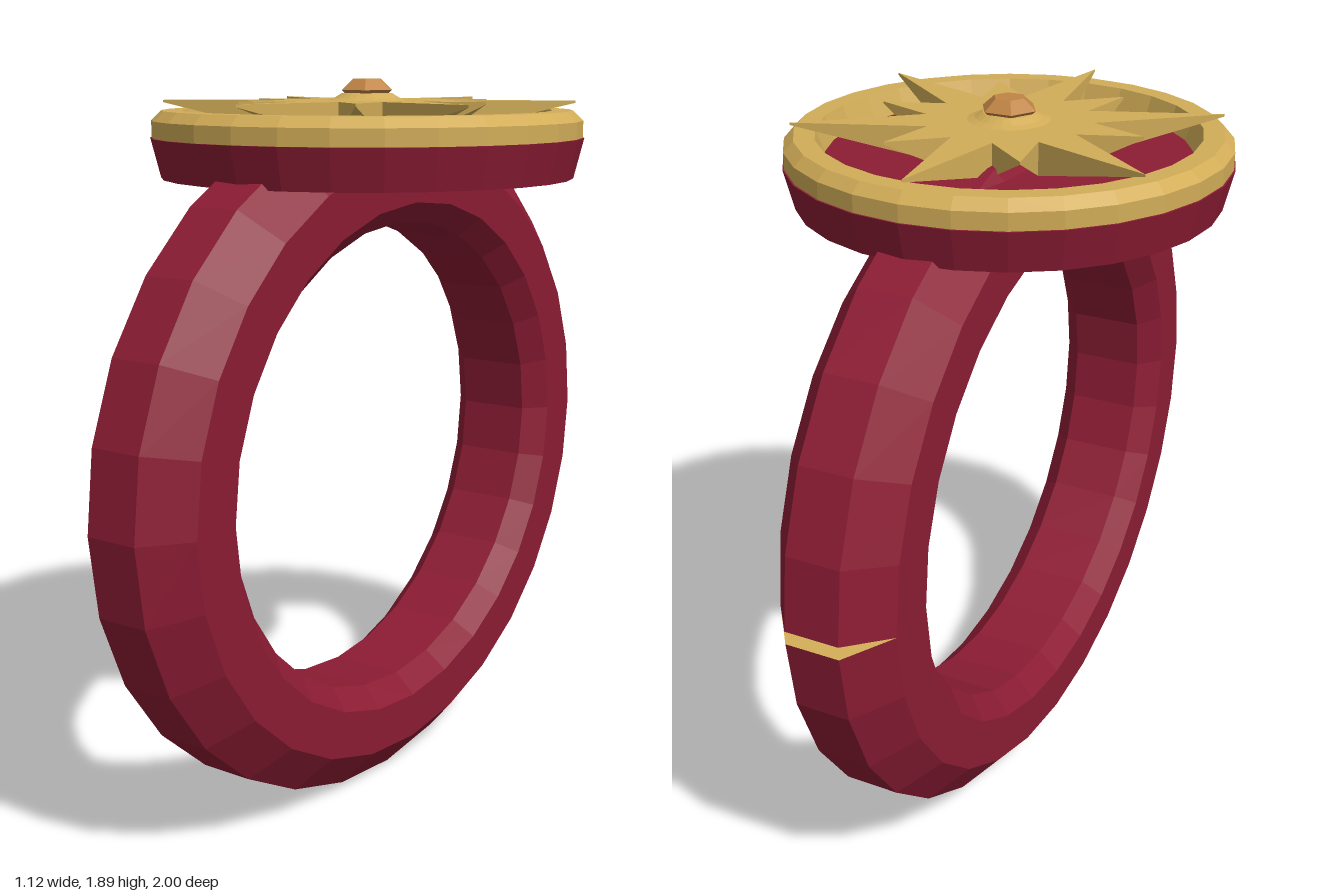
import * as THREE from 'three';

const SEGMENTS = 28;
const BAND_Y = 0.9; // height of the band's centre

function material(color) {
  return new THREE.MeshStandardMaterial({ color, flatShading: true });
}

function addMesh(group, name, geometry, mat) {
  const mesh = new THREE.Mesh(geometry, mat);
  mesh.name = name;
  group.add(mesh);
  return mesh;
}

function lathe(points, segments = SEGMENTS, start = 0) {
  return new THREE.LatheGeometry(points.map(([r, y]) => new THREE.Vector2(r, y)), segments, start);
}

function fromTriangles(positions, indices) {
  const geometry = new THREE.BufferGeometry();
  geometry.setAttribute('position', new THREE.Float32BufferAttribute(positions, 3));
  geometry.setIndex(indices);
  geometry.computeVertexNormals();
  return geometry;
}

// Chamfered finger band, slightly flattened, with a tiny open seam at the back
function bandGeometry(gap) {
  const profile = [
    [0.695, 0.1], [0.695, -0.1], [0.755, -0.155], [0.89, -0.155],
    [1, -0.07], [1, 0.07], [0.89, 0.155], [0.755, 0.155], [0.695, 0.1],
  ];
  const geometry = lathe(profile, SEGMENTS, Math.PI);
  geometry.rotateZ(Math.PI / 2);
  geometry.scale(1, 0.9, 1);
  const pos = geometry.attributes.position;
  for (const j of [4, 5]) {
    const end = SEGMENTS * profile.length + j;
    pos.setY(j, pos.getY(j) - gap);
    pos.setY(end, pos.getY(end) + gap);
  }
  geometry.translate(0, BAND_Y, 0);
  geometry.computeVertexNormals();
  return geometry;
}

// Faces lining the two sides of the seam
function seamGeometry(gap) {
  const positions = [];
  const indices = [];
  [-1, 1].forEach((side, k) => {
    const y = BAND_Y + side * gap;
    positions.push(-0.07, y, -1, 0.07, y, -1, 0.155, BAND_Y, -0.89, -0.155, BAND_Y, -0.89);
    const o = k * 4;
    indices.push(o, o + 1, o + 2, o, o + 2, o + 3);
  });
  return fromTriangles(positions, indices);
}

// Star with alternating long and short rays: flat on top, thinning to the tips
function starGeometry() {
  const count = 24;
  const top = 1.834;
  const floor = 1.752;
  const positions = [0, top, 0, 0, floor, 0];
  const indices = [];
  for (let i = 0; i < count; i++) {
    const angle = (i / count) * Math.PI * 2;
    const valley = i % 2 === 1;
    const radius = valley ? 0.21 : i % 4 === 0 ? 0.535 : 0.355;
    const x = Math.sin(angle) * radius;
    const z = Math.cos(angle) * radius;
    positions.push(x, top, z, x, valley ? floor : top - 0.006, z);
    const a = 2 + i * 2;
    const b = 2 + ((i + 1) % count) * 2;
    indices.push(0, a, b, 1, b + 1, a + 1); // top and underside
    indices.push(a + 1, b + 1, b, a + 1, b, a); // side wall
  }
  return fromTriangles(positions, indices);
}

export function createModel() {
  const model = new THREE.Group();
  model.name = 'signetRing';
  const red = material(0x8c1c34);
  const gold = material(0xd2ad58);
  const amber = material(0xc08444);
  const goldThin = material(0xd2ad58);
  goldThin.side = THREE.DoubleSide;

  const gap = 0.017;
  addMesh(model, 'band', bandGeometry(gap), red);
  addMesh(model, 'bandSeam', seamGeometry(gap), goldThin);

  // Round head: solid base with a recessed floor, and a raised rim
  const head = new THREE.Group();
  head.name = 'head';
  model.add(head);
  addMesh(head, 'headBase', lathe([
    [0, 1.64], [0.535, 1.64], [0.56, 1.742], [0.47, 1.75], [0, 1.75],
  ]), red);
  addMesh(head, 'rim', lathe([
    [0.556, 1.738], [0.556, 1.785], [0.53, 1.81], [0.478, 1.81], [0.456, 1.748],
  ]), gold);

  // Star emblem with a central boss and a cut stone
  addMesh(head, 'star', starGeometry(), gold);
  addMesh(head, 'boss', lathe([
    [0.11, 1.832], [0.085, 1.84], [0.065, 1.852], [0, 1.855],
  ], 24), gold);
  addMesh(head, 'stone', lathe([
    [0.055, 1.845], [0.072, 1.86], [0.04, 1.888], [0, 1.888],
  ], 6, Math.PI / 2), amber);

  return model;
}
